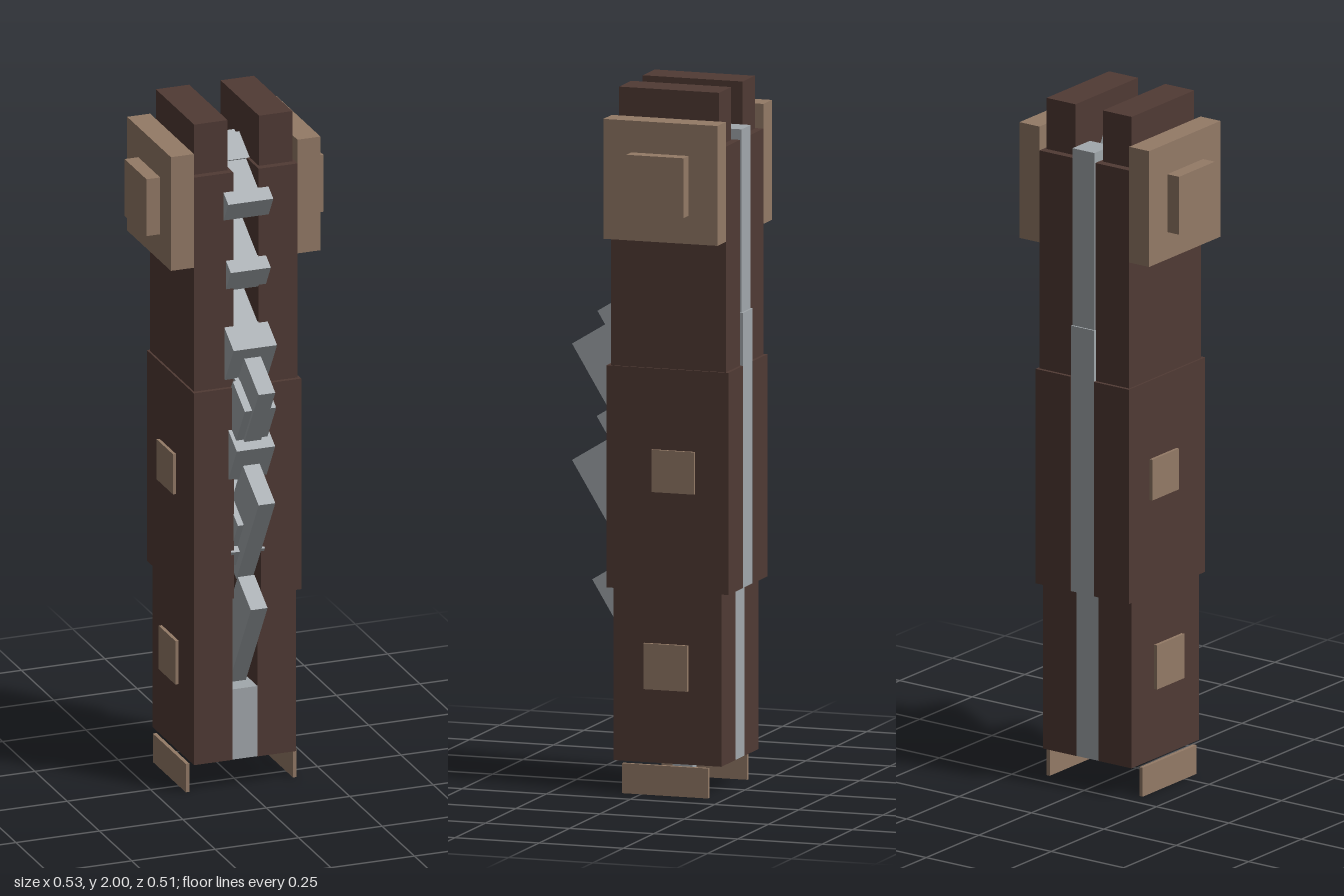
import * as THREE from 'three';

export function createModel() {
  const root = new THREE.Group();
  root.name = 'foldingTool';
  const mat = (name, color) => {
    const m = new THREE.MeshStandardMaterial({ color });
    m.name = name;
    return m;
  };
  const dark = mat('darkBrown', 0x503a34);
  const tan = mat('tanBrown', 0x937a66);
  const steel = mat('steelGrey', 0xa2a8ac);

  // Box given by its min and max on each axis
  const box = (parent, name, m, x0, x1, y0, y1, z0, z1) => {
    const mesh = new THREE.Mesh(new THREE.BoxGeometry(x1 - x0, y1 - y0, z1 - z0), m);
    mesh.position.set((x0 + x1) / 2, (y0 + y1) / 2, (z0 + z1) / 2);
    mesh.name = name;
    parent.add(mesh);
  };

  // Handle scales and fittings, mirrored to both sides
  const sideParts = [
    ['lowerScale', dark, 0.038, 0.153, 0.09, 0.58, -0.235, 0.085],
    ['middleScale', dark, 0.04, 0.161, 0.58, 1.21, -0.259, 0.104],
    ['upperScale', dark, 0.038, 0.155, 1.21, 1.85, -0.249, 0.092],
    ['topCap', dark, 0.047, 0.147, 1.85, 2.0, -0.226, 0.071],
    ['bolsterPlate', tan, 0.155, 0.224, 1.58, 1.92, -0.249, 0.09],
    ['bolsterKnob', tan, 0.224, 0.265, 1.66, 1.83, -0.163, 0.007],
    ['middleInlay', tan, 0.16, 0.17, 0.86, 0.98, -0.16, -0.033],
    ['lowerInlay', tan, 0.162, 0.172, 0.3, 0.43, -0.14, -0.01],
    ['footPlate', tan, 0.155, 0.166, 0, 0.085, -0.2, 0.055],
  ];
  for (const [name, m, x0, x1, y0, y1, z0, z1] of sideParts) {
    box(root, name + 'Left', m, x0, x1, y0, y1, z0, z1);
    box(root, name + 'Right', m, -x1, -x0, y0, y1, z0, z1);
  }

  // Back spine and front stop between the scales
  box(root, 'lowerSpine', steel, -0.038, 0.038, 0.09, 0.58, -0.234, -0.15);
  box(root, 'middleSpine', steel, -0.04, 0.04, 0.58, 1.36, -0.258, -0.16);
  box(root, 'upperSpine', steel, -0.038, 0.038, 1.36, 1.88, -0.253, -0.17);
  box(root, 'frontStop', steel, -0.038, 0.038, 0.09, 0.3, -0.02, 0.083);
  box(root, 'bottomTip', steel, -0.017, 0.017, 0.05, 0.12, -0.1, -0.04);

  // Tilted tools: front top corner (z, y), head depth, head height, head width, shank depth
  const tools = [
    [0.0, 1.85, 0.095, 0.09, 0.095, 0.095],
    [0.13, 1.77, 0.045, 0.07, 0.135, 0.26],
    [0.13, 1.565, 0.05, 0.08, 0.12, 0.3],
    [0.165, 1.345, 0.09, 0.13, 0.13, 0.34],
    [0.255, 1.24, 0.148, 0.24, 0.05, 0.148],
    [0.205, 1.175, 0.11, 0.14, 0.094, 0.36],
    [0.17, 1.045, 0.085, 0.13, 0.115, 0.33],
    [0.255, 0.91, 0.148, 0.33, 0.05, 0.148],
    [0.14, 0.81, 0.1, 0.12, 0.085, 0.28],
    [0.11, 0.72, 0.05, 0.06, 0.1, 0.25],
    [0.195, 0.575, 0.12, 0.33, 0.05, 0.12],
  ];
  tools.forEach(([z, y, depth, height, width, shank], i) => {
    const tool = new THREE.Group();
    tool.name = 'tool' + (i + 1);
    tool.position.set(0, y, z);
    tool.rotation.x = 0.55;
    box(tool, 'toolHead', steel, -width / 2, width / 2, -height, 0, -depth, 0);
    if (shank > depth) {
      box(tool, 'toolShank', steel, -0.037, 0.037, -Math.min(height, 0.1), -0.003, -shank, -depth);
    }
    root.add(tool);
  });

  return root;
}
